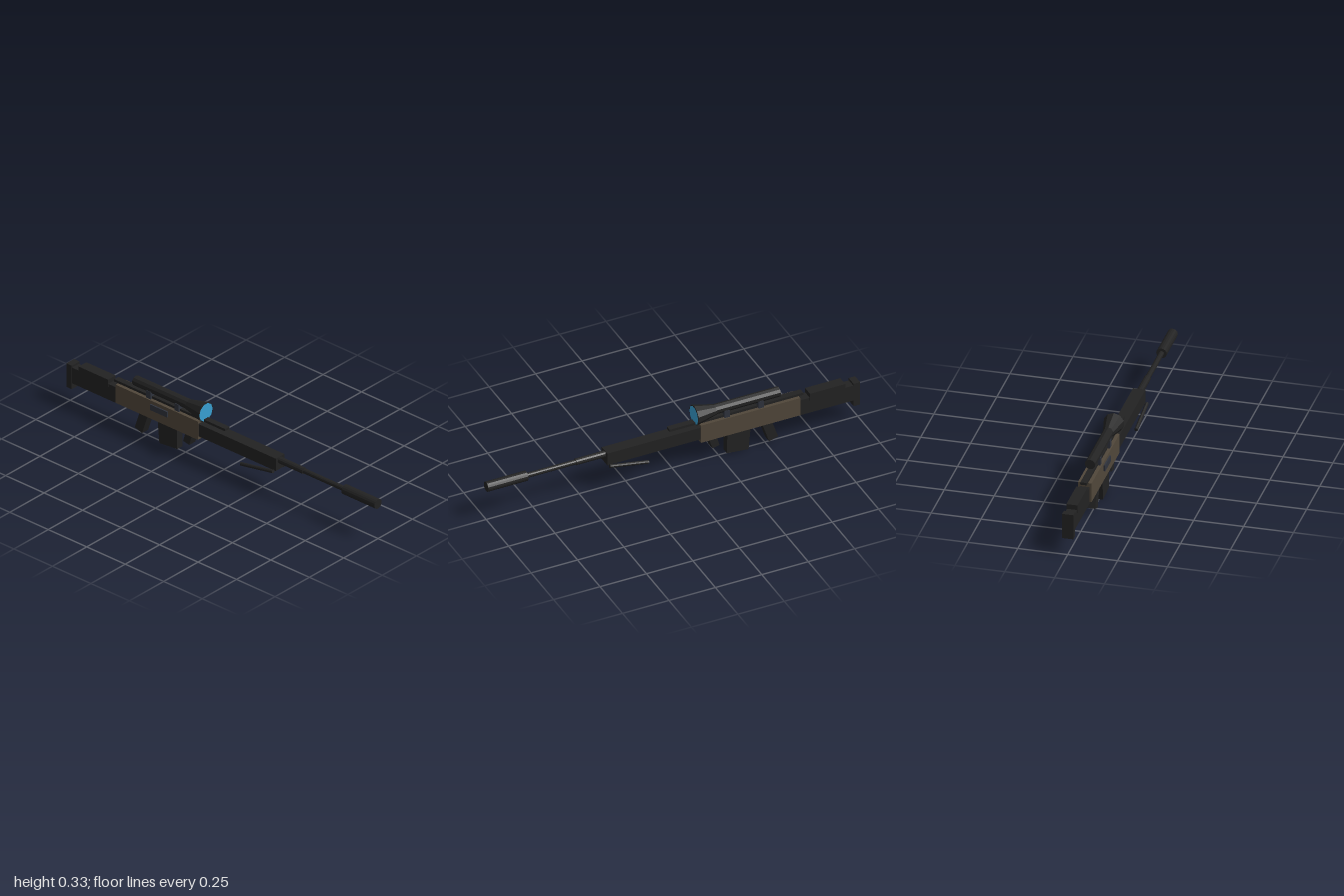
import * as THREE from 'three';

export function createModel() {
  const mat = (name, color, flat = true) => {
    const m = new THREE.MeshStandardMaterial({ color, flatShading: flat });
    m.name = name;
    return m;
  };
  const black = mat('black metal', 0x222222);
  const brown = mat('brown receiver', 0x51473a);
  const steel = mat('blue grey steel', 0x2f333d);
  const glass = mat('blue glass', 0x38a0d2);

  const model = new THREE.Group();
  model.name = 'rifle';
  const add = (name, geometry, material) => {
    const mesh = new THREE.Mesh(geometry, material);
    mesh.name = name;
    model.add(mesh);
    return mesh;
  };
  // Box centred on x, given half width and its y and z ranges
  const box = (name, halfW, y0, y1, z0, z1, material = black, x = 0) => {
    const mesh = add(name, new THREE.BoxGeometry(halfW * 2, y1 - y0, Math.abs(z1 - z0)), material);
    mesh.position.set(x, (y0 + y1) / 2, (z0 + z1) / 2);
    return mesh;
  };
  // Round bar along z from z0 (back) to z1 (front)
  const bar = (name, rFront, rBack, y, z0, z1, sides) => {
    const g = new THREE.CylinderGeometry(rFront, rBack, z1 - z0, sides).rotateX(Math.PI / 2);
    const mesh = add(name, g, black);
    mesh.position.set(0, y, (z0 + z1) / 2);
    return mesh;
  };
  // Side profile of [z, y] points, extruded across x
  const profile = (name, halfW, points, material = black) => {
    const shape = new THREE.Shape(points.map(([z, y]) => new THREE.Vector2(-z, y)));
    const g = new THREE.ExtrudeGeometry(shape, { depth: halfW * 2, bevelEnabled: false });
    g.translate(0, 0, -halfW).rotateY(Math.PI / 2);
    return add(name, g, material);
  };

  // Barrel
  bar('suppressor', 0.026, 0.026, 0.194, 0.785, 1, 16);
  bar('barrel', 0.013, 0.013, 0.194, 0.36, 0.79, 12);
  bar('barrelSleeve', 0.017, 0.017, 0.194, 0.36, 0.52, 12);

  // Body
  box('handguard', 0.031, 0.145, 0.214, -0.15, 0.363);
  box('receiver', 0.034, 0.126, 0.228, -0.675, -0.14, brown);
  box('topRail', 0.016, 0.228, 0.241, -0.7, 0.02);
  box('ejectionPort', 0.004, 0.179, 0.21, -0.445, -0.335, steel, -0.038);

  // Stock
  box('stock', 0.025, 0.119, 0.207, -0.97, -0.655);
  box('cheekRest', 0.028, 0.19, 0.232, -0.92, -0.73);
  box('buttPlate', 0.028, 0.087, 0.219, -1, -0.965);

  // Magazine and grips
  profile('magazine', 0.02, [[-0.289, 0.14], [-0.415, 0.13], [-0.403, 0], [-0.287, 0.011]]);
  profile('frontGrip', 0.0225, [[-0.188, 0.13], [-0.228, 0.14], [-0.246, 0.074], [-0.207, 0.066]]);
  profile('pistolGrip', 0.0225, [[-0.474, 0.13], [-0.524, 0.14], [-0.561, 0.03], [-0.513, 0.014]]);
  box('triggerGuard', 0.012, 0.11, 0.118, -0.49, -0.41);

  // Folded bipod legs
  const up = new THREE.Vector3(0, 1, 0);
  for (const side of [-1, 1]) {
    const a = new THREE.Vector3(side * 0.041, 0.144, 0.355);
    const b = new THREE.Vector3(side * 0.041, 0.106, 0.146);
    const dir = b.clone().sub(a);
    const leg = add('bipodLeg', new THREE.CylinderGeometry(0.009, 0.009, dir.length(), 10), black);
    leg.position.copy(a).add(b).multiplyScalar(0.5);
    leg.quaternion.setFromUnitVectors(up, dir.normalize());
  }

  // Scope
  bar('scopeTube', 0.026, 0.026, 0.277, -0.575, -0.22, 10);
  bar('scopeBell', 0.0525, 0.026, 0.275, -0.235, -0.12, 10);
  const lens = add('scopeLens', new THREE.CircleGeometry(0.0485, 10), glass);
  lens.position.set(0, 0.275, -0.118);
  for (const z of [-0.285, -0.468]) box('scopeMount', 0.027, 0.226, 0.268, z - 0.014, z + 0.014, steel);

  return model;
}
